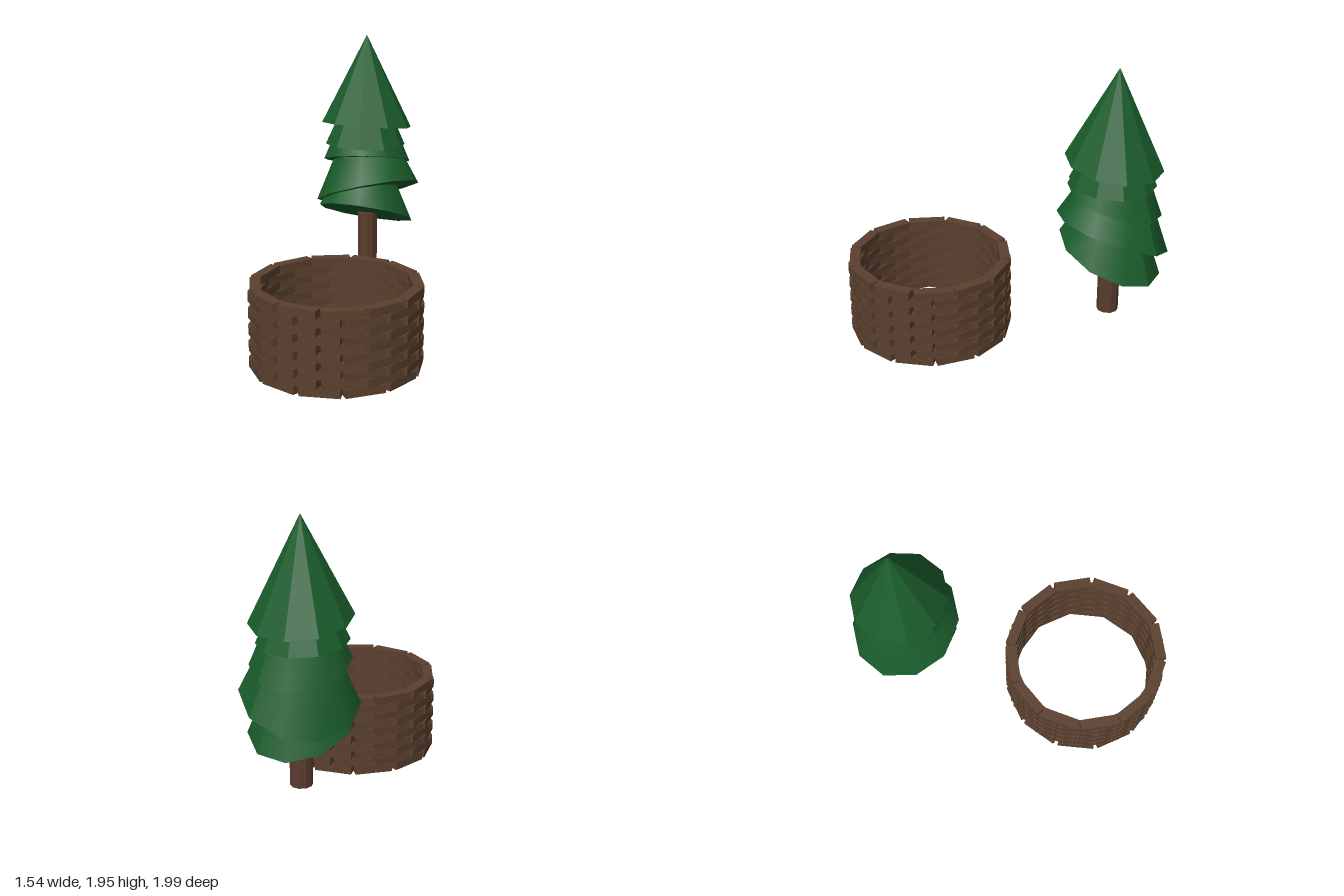
import * as THREE from 'three';

const bark = new THREE.MeshStandardMaterial({ color: 0x5a402e, flatShading: true });
const trunkMat = new THREE.MeshStandardMaterial({ color: 0x5a3c2e, flatShading: true });
const needles = new THREE.MeshStandardMaterial({ color: 0x1a5c2b });
const needlesFlat = new THREE.MeshStandardMaterial({ color: 0x1a5c2b, flatShading: true });

// Cone whose rim slopes by (sx, sz) while its tip is placed freely
function tier({ rim, tip, r, sx, sz, flat }) {
  const h = tip[1] - rim[1];
  const geo = new THREE.ConeGeometry(r, h, 10, flat ? 1 : 4, false, Math.PI - 0.09);
  geo.translate(0, h / 2, 0);
  const p = geo.attributes.position;
  for (let i = 0; i < p.count; i++) {
    const x = p.getX(i), y = p.getY(i), z = p.getZ(i), t = y / h;
    p.setXYZ(i,
      x + rim[0] + (tip[0] - rim[0]) * t,
      y + rim[1] + sx * x + sz * z,
      z + rim[2] + (tip[2] - rim[2]) * t);
  }
  geo.computeVertexNormals();
  const mesh = new THREE.Mesh(geo, flat ? needlesFlat : needles);
  mesh.name = 'foliageTier';
  return mesh;
}

function createTree() {
  const tree = new THREE.Group();
  tree.name = 'tree';

  const trunk = new THREE.Mesh(new THREE.CylinderGeometry(0.072, 0.072, 0.435, 10), trunkMat);
  trunk.position.set(-0.408, 0.4525, -0.62);
  trunk.name = 'trunk';
  tree.add(trunk);

  // Foliage from top to bottom
  const tiers = [
    { rim: [-0.415, 1.315, -0.618], tip: [-0.42, 1.95, -0.625], r: 0.32, sx: 0.03, sz: 0.135, flat: true },
    { rim: [-0.42, 1.175, -0.61], tip: [-0.42, 1.8, -0.62], r: 0.285, sx: 0, sz: 0.05, flat: true },
    { rim: [-0.42, 1.055, -0.63], tip: [-0.43, 1.78, -0.64], r: 0.31, sx: 0.18, sz: 0.245 },
    { rim: [-0.41, 0.825, -0.63], tip: [-0.47, 1.6, -0.66], r: 0.37, sx: 0.375, sz: 0.165 },
    { rim: [-0.415, 0.665, -0.613], tip: [-0.44, 1.4, -0.65], r: 0.337, sx: 0.12, sz: 0.405 },
  ];
  tiers.forEach((t) => tree.add(tier(t)));
  return tree;
}

// Round wall: ten courses of twelve blocks, joints staggered by half a block
function createWall() {
  const wall = new THREE.Group();
  wall.name = 'ringWall';
  wall.position.set(0.208, 0, 0.437);
  const rows = 10, count = 12, rowHeight = 0.055, inner = 0.472, outer = 0.542;
  const block = new THREE.BoxGeometry(0.256, rowHeight - 0.0006, outer - inner);
  for (let row = 0; row < rows; row++) {
    for (let i = 0; i < count; i++) {
      const a = ((i + (row % 2) * 0.5) / count) * Math.PI * 2;
      const d = (inner + outer) / 2;
      const mesh = new THREE.Mesh(block, bark);
      mesh.position.set(Math.sin(a) * d, (row + 0.5) * rowHeight, Math.cos(a) * d);
      mesh.rotation.y = a;
      mesh.name = 'wallBlock';
      wall.add(mesh);
    }
  }
  return wall;
}

export function createModel() {
  const model = new THREE.Group();
  model.name = 'treeAndRingWall';
  model.add(createTree(), createWall());
  return model;
}
